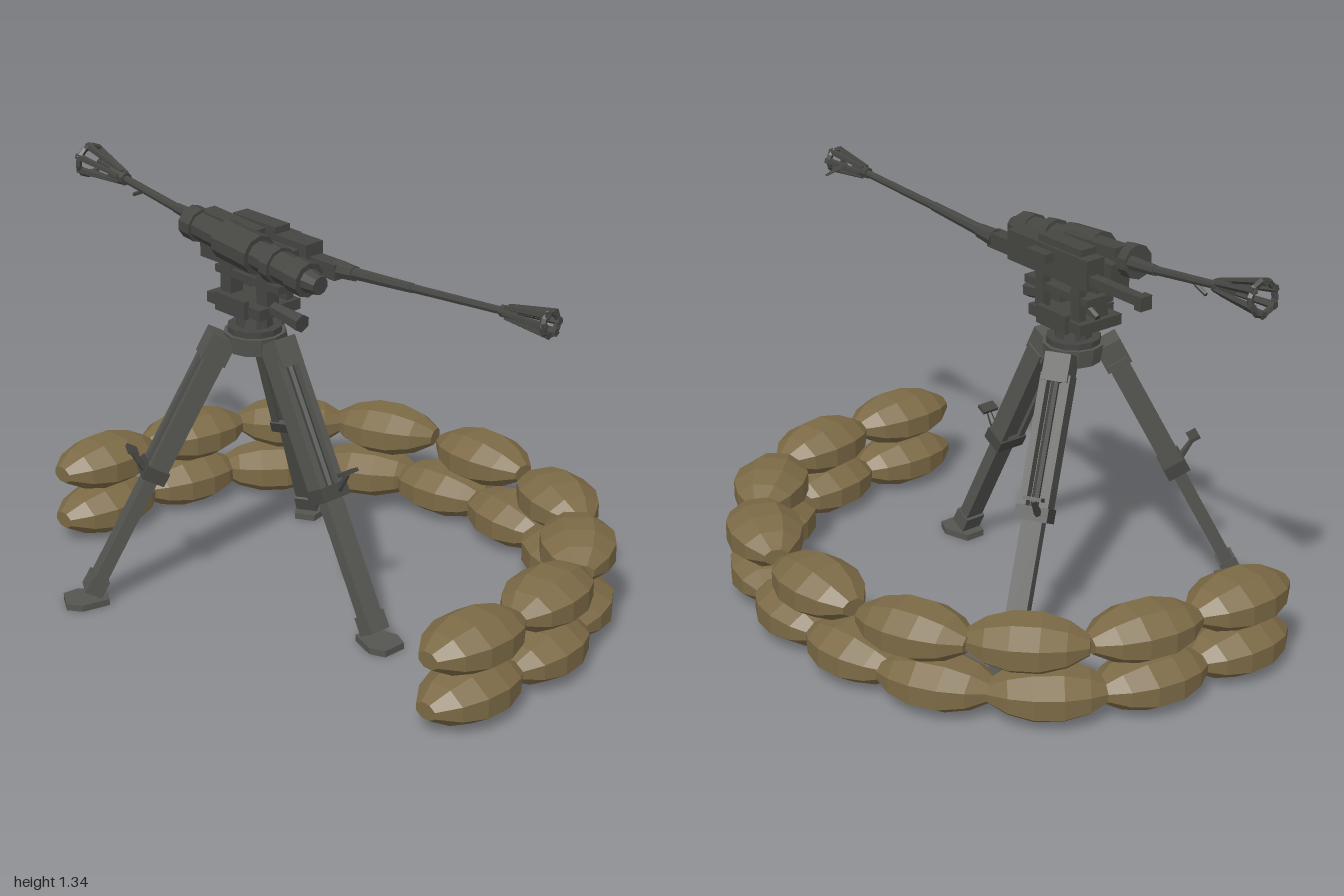
import * as THREE from 'three';

const sand = new THREE.MeshStandardMaterial({ name: 'sandCanvas', color: 0x7c6a46, flatShading: true });
const steel = new THREE.MeshStandardMaterial({ name: 'greySteel', color: 0x555551, flatShading: true });
const dark = new THREE.MeshStandardMaterial({ name: 'darkSteel', color: 0x454542, flatShading: true });

const V = (x, y, z) => new THREE.Vector3(x, y, z);

function add(parent, name, geometry, material, x = 0, y = 0, z = 0) {
  const mesh = new THREE.Mesh(geometry, material);
  mesh.name = name;
  mesh.position.set(x, y, z);
  parent.add(mesh);
  return mesh;
}

const box = (parent, name, w, h, d, x, y, z, mat = dark) =>
  add(parent, name, new THREE.BoxGeometry(w, h, d), mat, x, y, z);

// Round bar from point a to point b
function bar(parent, name, a, b, r1, r2 = r1, sides = 8, mat = dark) {
  const dir = b.clone().sub(a);
  const mesh = add(parent, name, new THREE.CylinderGeometry(r2, r1, dir.length(), sides), mat);
  mesh.position.copy(a).add(b).multiplyScalar(0.5);
  mesh.quaternion.setFromUnitVectors(V(0, 1, 0), dir.normalize());
  return mesh;
}

// Slotted cone at the end of a barrel: struts, a collar and an open rim
function flashCone(parent, a, b, r1, r2) {
  const g = new THREE.Group();
  g.name = 'flashCone';
  g.position.copy(a);
  const len = a.distanceTo(b);
  g.quaternion.setFromUnitVectors(V(0, 0, 1), b.clone().sub(a).normalize());
  const n = 6;
  for (let i = 0; i < n; i++) {
    const t = (i / n) * Math.PI * 2, c = Math.cos(t), s = Math.sin(t);
    bar(g, 'coneStrut', V(c * r1, s * r1, 0), V(c * r2, s * r2, len), 0.008, 0.013, 5);
  }
  bar(g, 'coneCollar', V(0, 0, -0.02), V(0, 0, 0.05), r1 * 1.1, r1 * 1.25);
  add(g, 'coneRim', new THREE.TorusGeometry(r2, 0.011, 5, 10), dark, 0, 0, len - 0.01);
  parent.add(g);
}

// Two stacked arcs of filled bags
function makeSandbags() {
  const g = new THREE.Group();
  g.name = 'sandbagWall';
  const profile = [[0, -1], [0.33, -1], [0.76, -0.66], [1, -0.24], [1, 0.24], [0.76, 0.66], [0.33, 1], [0, 1]];
  const geo = new THREE.LatheGeometry(profile.map(p => new THREE.Vector2(...p)), 8, Math.PI / 8);
  geo.rotateZ(Math.PI / 2);
  geo.scale(0.188, 0.085, 0.128);
  // x, z, angle in degrees; each bag is mirrored across z
  const layers = [
    [0.09, [[-0.305, 0.87, 0], [0.035, 0.85, 9], [0.33, 0.72, 38], [0.55, 0.46, 60], [0.635, 0.16, 82]]],
    [0.257, [[-0.3, 0.872, 0], [0.06, 0.84, 11], [0.38, 0.68, 45], [0.59, 0.405, 68], [0.66, 0, 90]]],
  ];
  for (const [y, bags] of layers)
    for (const [x, z, deg] of bags)
      for (const side of z ? [-1, 1] : [1])
        add(g, 'sandbag', geo, sand, x, y, z * side).rotation.y = side * THREE.MathUtils.degToRad(deg);
  return g;
}

// One leg, leaning outward along +z
function makeLeg(angle) {
  const leg = new THREE.Group();
  leg.name = 'tripodLeg';
  leg.rotation.y = angle;
  const slope = new THREE.Group();
  slope.name = 'legBeam';
  slope.position.set(0, 0.89, 0.11);
  slope.rotation.x = -0.483;
  leg.add(slope);
  box(slope, 'legSocket', 0.085, 0.09, 0.085, 0, -0.03, 0, steel);
  for (const s of [-1, 1]) box(slope, 'sideRail', 0.024, 0.44, 0.066, s * 0.037, -0.27, 0, steel);
  box(slope, 'channelWeb', 0.06, 0.44, 0.012, 0, -0.27, -0.015, steel);
  bar(slope, 'slideRod', V(0, -0.06, 0.02), V(0, -0.5, 0.02), 0.013, 0.013, 6);
  box(slope, 'legClamp', 0.108, 0.045, 0.078, 0, -0.49, 0);
  box(slope, 'lowerLeg', 0.068, 0.45, 0.042, 0, -0.71, 0, steel);
  bar(slope, 'clampLever', V(0.02, -0.49, 0.03), V(0.02, -0.45, 0.1), 0.013, 0.008, 6);
  box(slope, 'leverTab', 0.06, 0.012, 0.035, 0.02, -0.445, 0.1);
  box(slope, 'ankle', 0.075, 0.06, 0.06, 0, -0.92, 0, steel);
  // Flared ground shoe
  const shoe = new THREE.Shape();
  [[-0.035, 0.5], [0.035, 0.5], [0.062, 0.59], [0.04, 0.64], [-0.04, 0.64], [-0.062, 0.59]]
    .forEach(([x, z], i) => (i ? shoe.lineTo(x, -z) : shoe.moveTo(x, -z)));
  const geo = new THREE.ExtrudeGeometry(shoe, { depth: 0.022, bevelEnabled: false });
  geo.rotateX(-Math.PI / 2);
  add(leg, 'footShoe', geo, steel, 0, 0.008, 0);
  return leg;
}

function makeTripod() {
  const g = new THREE.Group();
  g.name = 'tripod';
  g.position.set(-0.215, 0, -0.18);
  for (const a of [0, 1, 2]) g.add(makeLeg((a * Math.PI * 2) / 3));
  bar(g, 'hub', V(0, 0.85, 0), V(0, 0.91, 0), 0.09, 0.1, 12, steel);
  bar(g, 'hubFlange', V(0, 0.905, 0), V(0, 0.93, 0), 0.088, 0.088, 12);
  bar(g, 'pivotPost', V(0, 0.93, 0), V(0, 1.01, 0), 0.06, 0.05, 10);
  return g;
}

// Swivel cradle carrying the guns
function makeCradle() {
  const g = new THREE.Group();
  g.name = 'cradle';
  box(g, 'cradleBase', 0.17, 0.035, 0.25, -0.21, 1.005, -0.19);
  for (const s of [-1, 1]) box(g, 'cradleCheek', 0.02, 0.06, 0.14, -0.21 + s * 0.09, 1.01, -0.19);
  for (const z of [-0.1, -0.27]) {
    box(g, 'uprightRight', 0.05, 0.13, 0.05, -0.23, 1.08, z);
    box(g, 'uprightLeft', 0.03, 0.17, 0.04, -0.155, 1.1, z);
  }
  box(g, 'supportRail', 0.11, 0.025, 0.3, -0.2, 1.09, -0.17);
  bar(g, 'crankArm', V(-0.24, 1.02, -0.06), V(-0.24, 1.005, 0.07), 0.022, 0.03, 6);
  bar(g, 'tiltStrut', V(-0.2, 1.03, -0.31), V(-0.2, 1.14, -0.08), 0.012, 0.012, 6);
  return g;
}

// Gun facing the back, on the model's right
function makeRearGun() {
  const g = new THREE.Group();
  g.name = 'rearFacingGun';
  const at = z => V(-0.272 - (z + 0.4) * 0.02, 1.225 - (z + 0.4) * 0.085, z);
  bar(g, 'jacket', at(-0.4), at(0.14), 0.045, 0.05, 10);
  for (const [z0, z1, r] of [[-0.41, -0.36, 0.055], [-0.24, -0.08, 0.064], [-0.02, 0.02, 0.06], [0.09, 0.15, 0.056]])
    bar(g, 'jacketBand', at(z0), at(z1), r, r, 10);
  bar(g, 'endCap', at(0.14), at(0.2), 0.04, 0.03, 10);
  box(g, 'receiver', 0.075, 0.1, 0.38, -0.235, 1.17, -0.18);
  box(g, 'topCover', 0.06, 0.03, 0.24, -0.24, 1.25, -0.25).rotation.x = 0.06;
  bar(g, 'barrelSleeve', V(-0.25, 1.225, -0.36), V(-0.243, 1.237, -0.52), 0.026, 0.017);
  bar(g, 'barrel', V(-0.245, 1.235, -0.5), V(-0.238, 1.275, -0.82), 0.015, 0.013);
  bar(g, 'frontSight', V(-0.24, 1.255, -0.68), V(-0.24, 1.228, -0.74), 0.007, 0.007, 5);
  flashCone(g, V(-0.238, 1.272, -0.8), V(-0.234, 1.292, -0.985), 0.02, 0.05);
  return g;
}

// Gun facing the front, on the model's left
function makeFrontGun() {
  const g = new THREE.Group();
  g.name = 'frontFacingGun';
  box(g, 'receiver', 0.07, 0.1, 0.38, -0.16, 1.19, -0.15);
  box(g, 'feedCover', 0.06, 0.025, 0.2, -0.165, 1.25, -0.2);
  box(g, 'feedTray', 0.05, 0.03, 0.09, -0.115, 1.21, -0.14);
  box(g, 'stockBar', 0.035, 0.03, 0.26, -0.152, 1.175, -0.45);
  box(g, 'stockEnd', 0.045, 0.045, 0.03, -0.152, 1.172, -0.565);
  box(g, 'gripBlock', 0.05, 0.05, 0.12, -0.155, 1.175, 0.09);
  bar(g, 'barrelNut', V(-0.15, 1.178, 0.13), V(-0.15, 1.182, 0.21), 0.03, 0.024);
  bar(g, 'barrelSleeve', V(-0.15, 1.182, 0.2), V(-0.147, 1.2, 0.45), 0.02, 0.016);
  bar(g, 'barrel', V(-0.147, 1.2, 0.45), V(-0.135, 1.226, 0.84), 0.014, 0.012);
  flashCone(g, V(-0.136, 1.225, 0.82), V(-0.128, 1.232, 0.985), 0.017, 0.034);
  bar(g, 'sightBlade', V(-0.12, 1.235, 0.9), V(-0.045, 1.205, 0.92), 0.009, 0.004, 5);
  return g;
}

export function createModel() {
  const model = new THREE.Group();
  model.name = 'gunEmplacement';
  model.add(makeSandbags(), makeTripod(), makeCradle(), makeRearGun(), makeFrontGun());
  return model;
}
